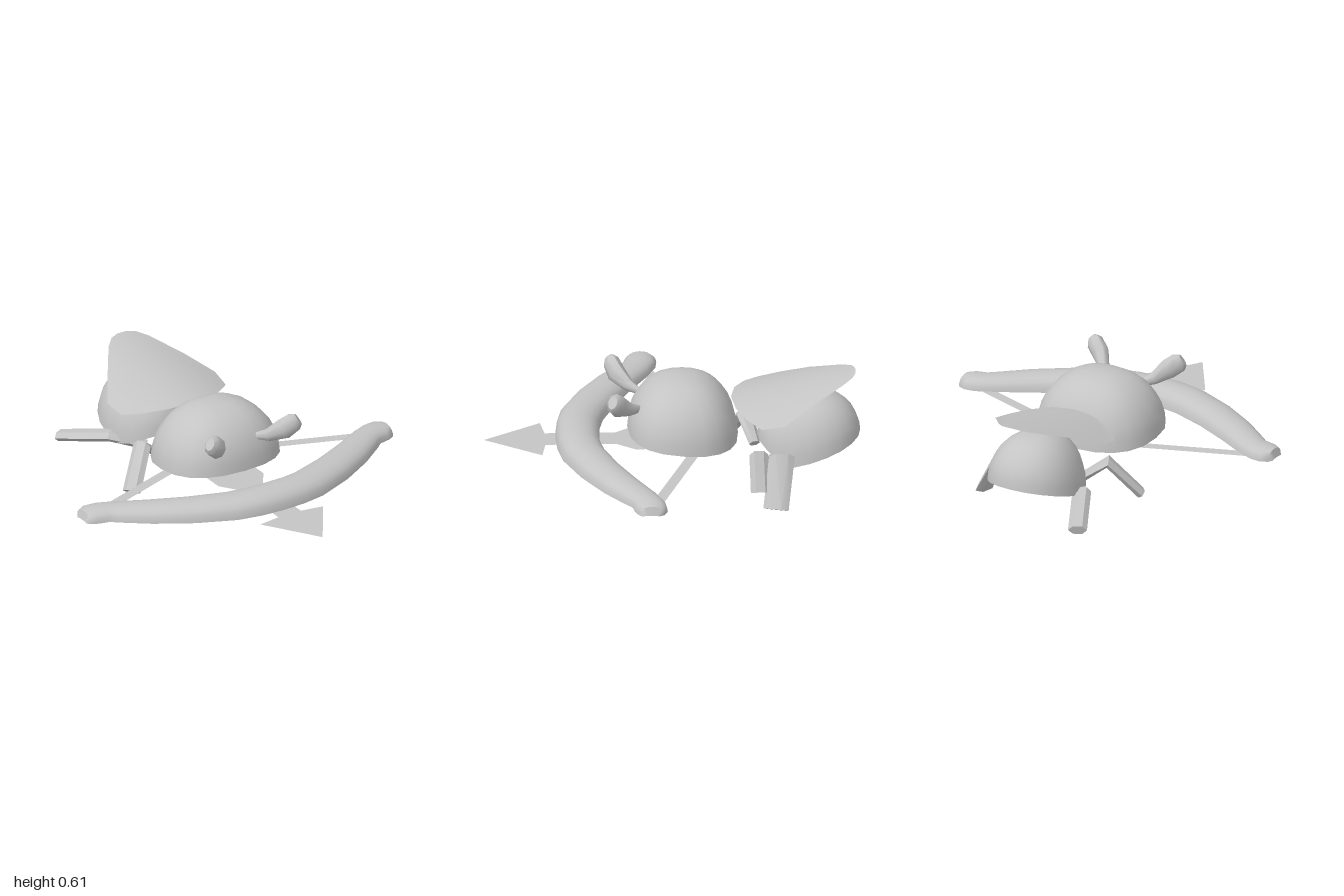
import * as THREE from 'three';
import { toCreasedNormals } from 'three/addons/utils/BufferGeometryUtils.js';

const grey = new THREE.MeshStandardMaterial({ color: 0xc4c4c4, side: THREE.DoubleSide });
grey.name = 'plain grey';
const V = (x, y, z) => new THREE.Vector3(x, y, z);

// Skins a list of equally long rows of points
function skin(rows, crease = 0.9) {
  const n = rows[0].length, index = [];
  for (let i = 0; i < rows.length - 1; i++) {
    for (let j = 0; j < n - 1; j++) {
      const a = i * n + j, b = a + 1, c = a + n, d = c + 1;
      index.push(a, b, c, b, d, c);
    }
  }
  const g = new THREE.BufferGeometry().setFromPoints(rows.flat());
  g.setIndex(index);
  return toCreasedNormals(g, crease);
}

// Open shell with a rim that follows rim(z), rounded up to the top height
function dome(rx, rz, cz, top, rim, square) {
  const rows = [], sides = 20, rings = 8;
  const pow = (v, p) => Math.sign(v) * Math.abs(v) ** p;
  for (let i = 0; i <= rings; i++) {
    const t = (i / rings) * Math.PI / 2;
    const r = Math.max(Math.cos(t), 0) ** 0.85, h = Math.sin(t) ** 1.05;
    const row = [];
    for (let j = 0; j <= sides; j++) {
      const a = (j / sides) * Math.PI * 2;
      const x = rx * pow(Math.cos(a), square), z = cz - rz * pow(Math.sin(a), square);
      const y0 = rim(z);
      row.push(V(x * r, y0 + (top - y0) * h, cz + (z - cz) * r));
    }
    rows.push(row);
  }
  return skin(rows);
}

// Closed limb through points, each with a width and a thickness
function limb(points, sizes, sides, crease) {
  const rows = [];
  points.forEach((p, i) => {
    const prev = points[Math.max(i - 1, 0)], next = points[Math.min(i + 1, points.length - 1)];
    const T = next.clone().sub(prev).normalize();
    const A = V(0, 1, 0).cross(T).normalize(), B = T.clone().cross(A);
    const [w, h] = sizes[i], ring = [];
    for (let j = 0; j <= sides; j++) {
      const a = (j / sides) * Math.PI * 2;
      ring.push(p.clone().addScaledVector(A, w * Math.cos(a)).addScaledVector(B, h * Math.sin(a)));
    }
    const cap = ring.map(() => p.clone());
    if (i === 0) rows.push(cap);
    rows.push(ring);
    if (i === points.length - 1) rows.push(cap);
  });
  return skin(rows, crease);
}

// Flat plate lying in the ground plane direction, outline given as x, z
function plate(outline, y) {
  const g = new THREE.ShapeGeometry(new THREE.Shape(outline.map(([x, z]) => new THREE.Vector2(x, -z))));
  return g.rotateX(-Math.PI / 2).translate(0, y, 0);
}

export function createModel() {
  const model = new THREE.Group();
  model.name = 'insectWithBow';
  const add = (name, geometry) => {
    const m = new THREE.Mesh(geometry, grey);
    m.name = name;
    model.add(m);
  };

  // Body and abdomen shells
  add('body', dome(0.335, 0.29, -0.05, 0.6, z => 0.31 + 0.08 * (z - 0.24), 0.82));
  add('abdomen', dome(0.25, 0.27, -0.71, 0.5,
    z => (z < -0.6 ? 0.16 + 0.3 * (-0.6 - z) : 0.16 + 0.6 * (z + 0.6)), 0.95));

  // Arched wing cover: z and half width of each row
  const wing = [[-0.305, 0.01], [-0.325, 0.13], [-0.38, 0.24], [-0.455, 0.325], [-0.575, 0.335],
    [-0.72, 0.24], [-0.89, 0.125], [-0.94, 0.075], [-0.955, 0.03]];
  add('wingCover', skin(wing.map(([z, w]) => {
    const row = [];
    for (let j = -4; j <= 4; j++) {
      const x = w * j / 4;
      row.push(V(x, 0.47 + 0.22 * (-0.3 - z) - 0.7 * x * x, z));
    }
    return row;
  })));

  // Bow limbs: x, centre z, half width, height
  const half = [[0, 0.5, 0.115, 0.097], [0.12, 0.495, 0.114, 0.096], [0.24, 0.472, 0.112, 0.092],
    [0.44, 0.39, 0.105, 0.084], [0.63, 0.285, 0.095, 0.074], [0.78, 0.185, 0.083, 0.064],
    [0.84, 0.152, 0.088, 0.062], [0.9, 0.142, 0.085, 0.06], [0.94, 0.142, 0.065, 0.05],
    [0.955, 0.145, 0.04, 0.005]];
  const bow = [...half.slice(1).reverse().map(([x, ...r]) => [-x, ...r]), ...half];
  add('bow', skin(bow.map(([x, z, w, h], i) => {
    const p = bow[Math.max(i - 1, 0)], q = bow[Math.min(i + 1, bow.length - 1)];
    const dir = new THREE.Vector2(q[0] - p[0], q[1] - p[1]).normalize();
    const lean = Math.abs(x) < 0.8 ? 0.7 : 0;
    const row = [];
    for (let j = 0; j <= 10; j++) {
      const a = (j / 10) * Math.PI, s = -w * Math.cos(a);
      row.push(V(x - dir.y * s * lean, 0.24 + h * Math.max(Math.sin(a), 0) ** 0.75, z + s));
    }
    return row;
  })));

  // Bowstring and arrow
  add('bowstring', plate([[-0.84, 0.09], [0, -0.21], [0.84, 0.09], [0.8, 0.14], [0, -0.15], [-0.8, 0.14]], 0.242));
  const arrow = [[0, 0.99], [0.195, 0.69], [0.07, 0.67], [0.07, 0.3], [0.14, 0.2], [0.14, 0.02], [0.06, -0.13]];
  add('arrow', plate([...arrow, ...arrow.slice(1).reverse().map(([x, z]) => [-x, z])], 0.24));

  // Spoon shaped feelers
  for (const [name, s] of [['leftFeeler', 1], ['rightFeeler', -1]]) {
    add(name, limb([V(s * 0.11, 0.46, 0.18), V(s * 0.15, 0.475, 0.23), V(s * 0.205, 0.52, 0.29),
      V(s * 0.255, 0.56, 0.315), V(s * 0.275, 0.575, 0.325)],
    [[0.015, 0.02], [0.03, 0.035], [0.045, 0.058], [0.042, 0.055], [0.025, 0.035]], 8));
  }

  // Legs: hip, knee, foot
  const legs = {
    leftMiddleLeg: [[0.1, 0.16, -0.52], [0.3, 0.26, -0.56], [0.425, 0.015, -0.525]],
    leftFrontLeg: [[0.1, 0.15, -0.43], [0.29, 0.27, -0.44], [0.37, 0.09, -0.445]],
    rightFrontLeg: [[-0.1, 0.15, -0.43], [-0.24, 0.26, -0.385], [-0.375, 0.07, -0.275]],
    rightBackLeg: [[-0.1, 0.15, -0.56], [-0.25, 0.2, -0.67], [-0.39, 0.12, -0.95]],
  };
  for (const [name, pts] of Object.entries(legs)) {
    const w = name === 'leftMiddleLeg' ? 0.068 : 0.05;
    add(name, limb(pts.map(p => V(...p)), [[0.03, 0.025], [w, 0.03], [w, 0.028]], 6, 0.4));
  }
  return model;
}
